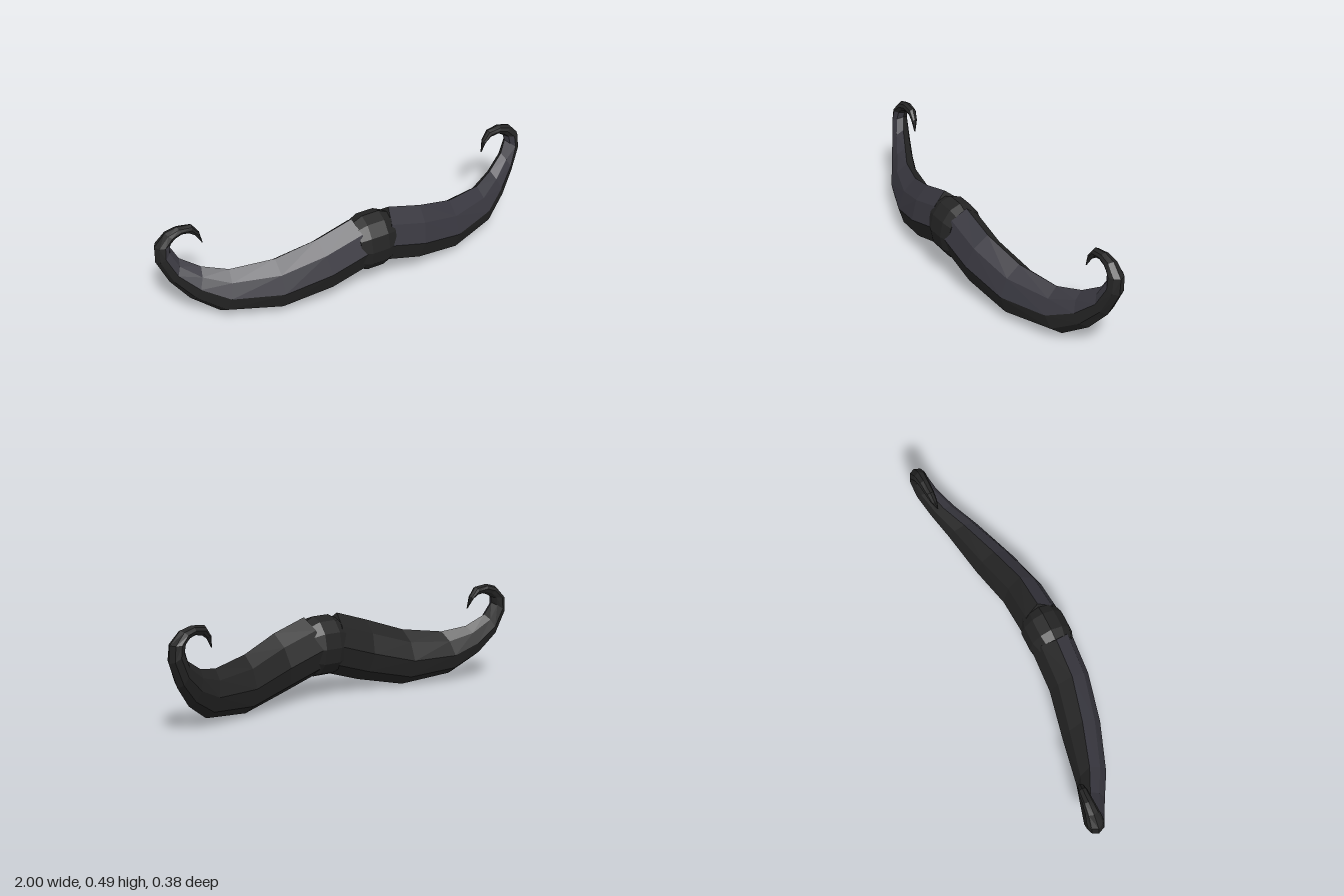
import * as THREE from 'three';

// Cross-section stations: upper/inner edge x, y; lower/outer edge x, y; centre z; half depth
const STATIONS = [
  [0.10, 0.405, 0.00, 0.125, 0.080, 0.105],
  [0.28, 0.350, 0.23, 0.055, 0.075, 0.103],
  [0.48, 0.283, 0.48, 0.003, 0.030, 0.100],
  [0.685, 0.257, 0.74, 0.035, -0.035, 0.078],
  [0.80, 0.280, 0.865, 0.12, -0.090, 0.062],
  [0.89, 0.335, 0.945, 0.22, -0.130, 0.052],
  [0.92, 0.395, 0.998, 0.34, -0.148, 0.044],
  [0.912, 0.425, 0.995, 0.42, -0.152, 0.040],
  [0.89, 0.440, 0.94, 0.48, -0.150, 0.032],
  [0.86, 0.450, 0.88, 0.496, -0.148, 0.026],
  [0.825, 0.444, 0.81, 0.488, -0.145, 0.022],
  [0.797, 0.425, 0.777, 0.44, -0.140, 0.016],
  [0.77, 0.380, 0.766, 0.38, -0.132, 0.003],
];

// Eight-sided section: fraction up from lower to upper edge, fraction of half depth
const SECTION = [
  [1, 0], [0.8, 0.66], [0.48, 1], [0.17, 0.72],
  [0, 0], [0.17, -0.72], [0.48, -1], [0.8, -0.66],
];

// Strips 0 and 1 are the lighter upper front faces, up to the curl
const isLight = (i, j) => j < 2 && i < 7;

// Lofts the chosen faces of one wing; side is 1 for left, -1 for right
function wingGeometry(side, light) {
  const rings = STATIONS.map(([tx, ty, bx, by, z, h]) => SECTION.map(([u, w]) => [
    side * (bx + (tx - bx) * u), by + (ty - by) * u, z + h * w,
  ]));
  const out = [];
  const tri = (a, b, c) => {
    if (side > 0) out.push(...a, ...b, ...c);
    else out.push(...a, ...c, ...b);
  };
  const n = SECTION.length;
  for (let i = 0; i < rings.length - 1; i++) {
    for (let j = 0; j < n; j++) {
      if (isLight(i, j) !== light) continue;
      const k = (j + 1) % n;
      const a = rings[i][j], b = rings[i][k], c = rings[i + 1][k], d = rings[i + 1][j];
      tri(a, b, c);
      tri(a, c, d);
    }
  }
  // Close the inner end and the tip
  if (!light) {
    const first = rings[0], last = rings[rings.length - 1];
    for (let j = 1; j < n - 1; j++) {
      tri(first[0], first[j + 1], first[j]);
      tri(last[0], last[j], last[j + 1]);
    }
  }
  const geo = new THREE.BufferGeometry();
  geo.setAttribute('position', new THREE.Float32BufferAttribute(out, 3));
  geo.computeVertexNormals();
  return geo;
}

// Faceted drum lying along x that joins the two wings
function knotGeometry() {
  const profile = [[0, -0.1], [0.84, -0.095], [1, -0.045], [1, 0.045], [0.84, 0.095], [0, 0.1]]
    .map(([r, y]) => new THREE.Vector2(r, y));
  const geo = new THREE.LatheGeometry(profile, 12).toNonIndexed();
  geo.rotateZ(Math.PI / 2);
  geo.scale(1, 0.148, 0.112);
  geo.translate(0, 0.255, 0.081);
  geo.computeVertexNormals();
  return geo;
}

export function createModel() {
  const group = new THREE.Group();
  group.name = 'moustache';
  const lightHair = new THREE.MeshStandardMaterial({ color: 0x38373f });
  lightHair.name = 'blue grey hair';
  const darkHair = new THREE.MeshStandardMaterial({ color: 0x242424 });
  darkHair.name = 'black hair';

  const add = (parent, name, geo, mat) => {
    const mesh = new THREE.Mesh(geo, mat);
    mesh.name = name;
    parent.add(mesh);
  };

  // Mirrored curling wings
  for (const [name, side] of [['leftWing', 1], ['rightWing', -1]]) {
    const wing = new THREE.Group();
    wing.name = name;
    add(wing, name + 'UpperFront', wingGeometry(side, true), lightHair);
    add(wing, name + 'Body', wingGeometry(side, false), darkHair);
    group.add(wing);
  }

  // Central knot
  add(group, 'centreKnot', knotGeometry(), darkHair);
  return group;
}
